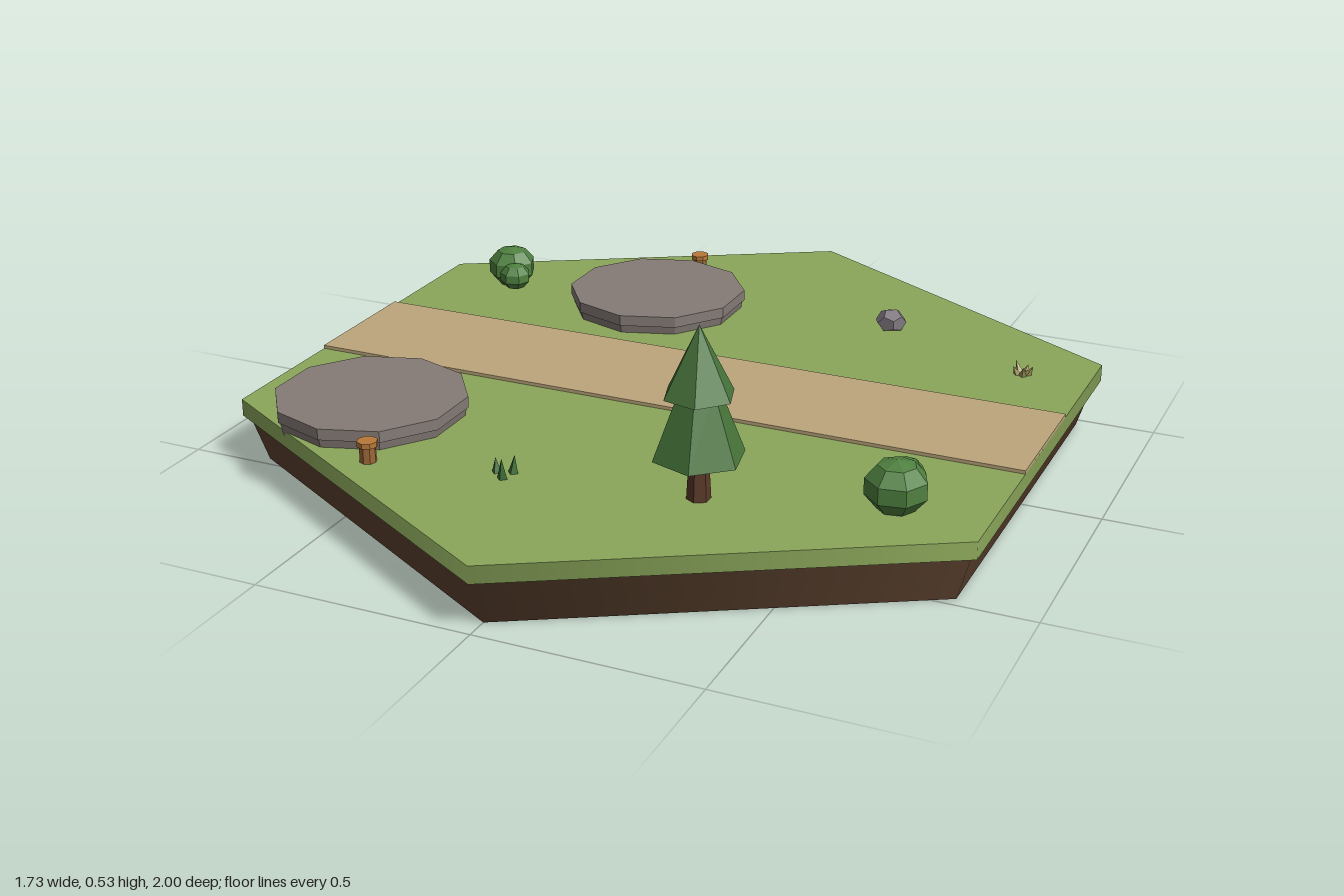
import * as THREE from 'three';

const GROUND = 0.15;
const COLORS = {
  soil: 0x5f4430, grass: 0x8aa65a, path: 0xbca67c, stone: 0x857b76, rock: 0x807880,
  bark: 0x5a3a28, needles: 0x47753a, leaves: 0x4f8040, stump: 0x9a6636, stumpTop: 0xb87838,
  blade: 0x3a6a32, dryBlade: 0x9c9458,
};

function part(parent, name, geometry, color, position, flat = true) {
  const mesh = new THREE.Mesh(geometry, new THREE.MeshStandardMaterial({ color, flatShading: flat }));
  mesh.name = name;
  mesh.position.set(...position);
  parent.add(mesh);
  return mesh;
}

function group(parent, name, x, z, y = GROUND) {
  const g = new THREE.Group();
  g.name = name;
  g.position.set(x, y, z);
  parent.add(g);
  return g;
}

// Cylinder given by its bottom and top heights
function drum(parent, name, rTop, rBottom, y0, y1, sides, color, flat = true) {
  const geometry = new THREE.CylinderGeometry(rTop, rBottom, y1 - y0, sides);
  return part(parent, name, geometry, color, [0, (y0 + y1) / 2, 0], flat);
}

// Ten-sided building pad: slab over a tapered footing
function addPad(parent, x, z) {
  const g = group(parent, 'stonePad', x, z, 0);
  drum(g, 'padFooting', 0.216, 0.208, 0.13, 0.17, 10, COLORS.stone);
  drum(g, 'padSlab', 0.22, 0.22, 0.17, 0.196, 10, COLORS.stone);
}

function addStump(parent, x, z) {
  const g = group(parent, 'stump', x, z);
  drum(g, 'stumpBody', 0.018, 0.019, 0, 0.036, 8, COLORS.stump);
  drum(g, 'stumpCap', 0.023, 0.023, 0.036, 0.048, 8, COLORS.stumpTop);
}

function addTree(parent, x, z) {
  const g = group(parent, 'pineTree', x, z);
  drum(g, 'trunk', 0.02, 0.026, 0, 0.11, 6, COLORS.bark);
  const lower = drum(g, 'lowerFoliage', 0.04, 0.1, 0.095, 0.25, 6, COLORS.needles);
  const upper = drum(g, 'upperFoliage', 0, 0.078, 0.23, 0.382, 6, COLORS.needles);
  lower.rotation.y = 0.2;
  upper.rotation.y = 0.3;
}

// Each blob is [x, y, z, radius]
function addBush(parent, x, z, blobs) {
  const g = group(parent, 'bush', x, z);
  blobs.forEach(([bx, by, bz, r], i) => {
    const blob = part(g, 'bushClump', new THREE.SphereGeometry(r, 7, 5), COLORS.leaves, [bx, by, bz]);
    blob.scale.y = 0.85;
    blob.rotation.y = 0.4 + i;
  });
}

function addRocks(parent, x, z) {
  const g = group(parent, 'rocks', x, z);
  const big = part(g, 'largeRock', new THREE.DodecahedronGeometry(0.038), COLORS.rock, [0, 0.018, 0]);
  const small = part(g, 'smallRock', new THREE.DodecahedronGeometry(0.02), COLORS.rock, [-0.015, 0.014, -0.045]);
  big.scale.y = small.scale.y = 0.8;
  big.rotation.y = 0.5;
}

// Ring of thin cones leaning outward
function addTuft(parent, name, x, z, count, height, spread, radius, lean, color) {
  const g = group(parent, name, x, z);
  for (let i = 0; i < count; i++) {
    const a = (i / count) * Math.PI * 2 + 0.3;
    const h = height * (1 - 0.15 * (i % 3));
    const geometry = new THREE.ConeGeometry(radius, h, 4).translate(0, h / 2, 0);
    const blade = part(g, 'blade', geometry, color, [Math.sin(a) * spread, 0, Math.cos(a) * spread]);
    blade.rotation.set(Math.cos(a) * lean, 0, -Math.sin(a) * lean);
  }
}

export function createModel() {
  const model = new THREE.Group();
  model.name = 'hexTerrainTile';

  // Hexagonal base and the path across it
  drum(model, 'soil', 0.985, 0.947, 0, 0.11, 6, COLORS.soil, false);
  drum(model, 'grass', 1, 1, 0.11, GROUND, 6, COLORS.grass, false);
  part(model, 'path', new THREE.BoxGeometry(1.732, 0.012, 0.326), COLORS.path, [0, 0.152, -0.003]);

  // Pads with a stump beside each
  addPad(model, -0.26, -0.44);
  addPad(model, -0.56, 0.437);
  addStump(model, -0.26, -0.707);
  addStump(model, -0.428, 0.667);

  // Plants and rocks
  addTree(model, 0.286, 0.545);
  addBush(model, 0.67, 0.425, [[0, 0.05, 0, 0.07], [-0.003, 0.045, -0.062, 0.047]]);
  addBush(model, -0.672, -0.435, [[0, 0.045, 0, 0.062], [0.035, 0.038, 0.05, 0.04]]);
  addRocks(model, 0.332, -0.528);
  addTuft(model, 'grassTuft', -0.132, 0.608, 3, 0.048, 0.02, 0.012, 0.1, COLORS.blade);
  addTuft(model, 'dryTuft', 0.71, -0.37, 5, 0.03, 0.012, 0.01, 0.5, COLORS.dryBlade);

  return model;
}
